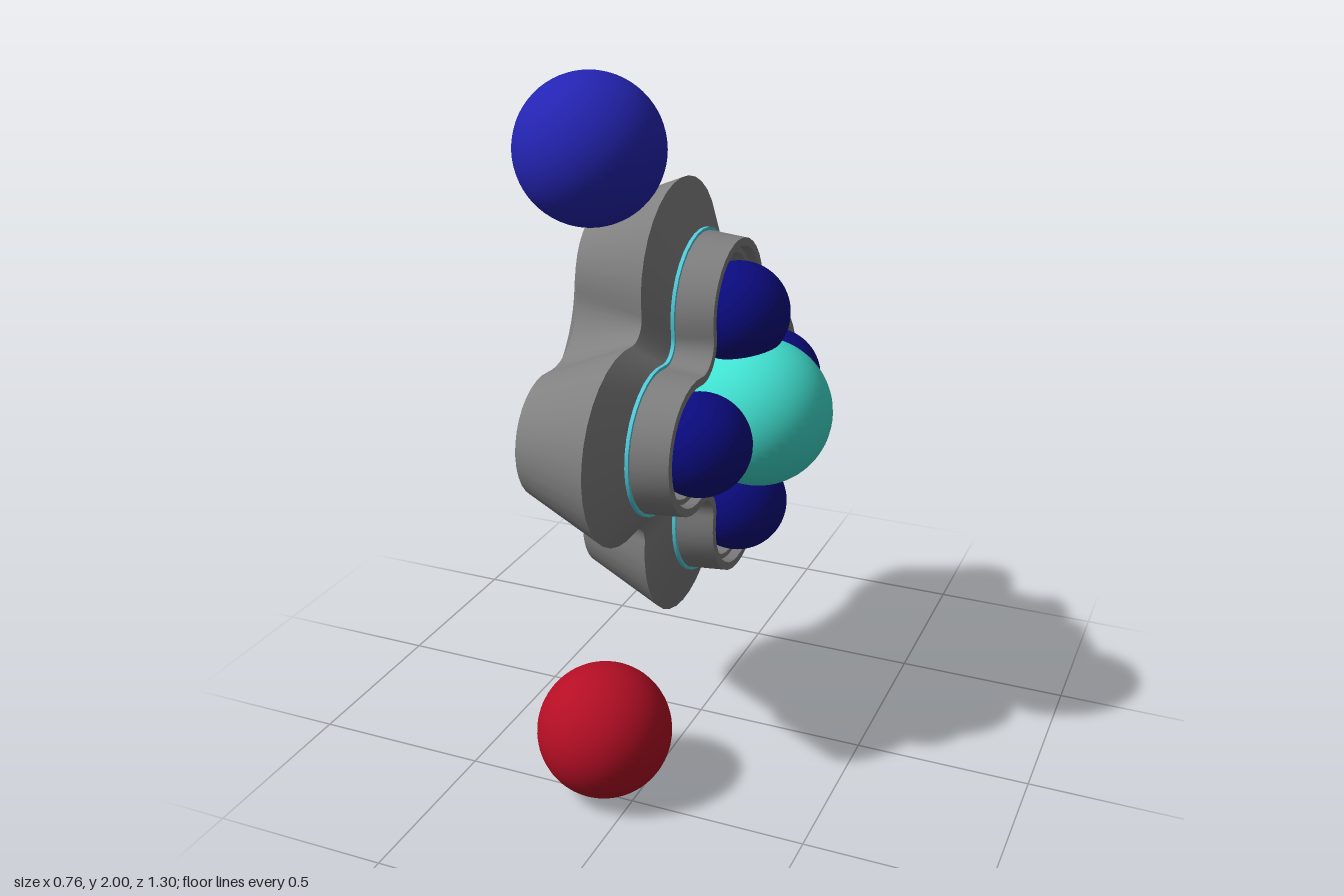
import * as THREE from 'three';

const CY = 1.005, CZ = -0.005; // centre of the four-lobed body

// Rounded four-lobed outline: lobe centre distance c, lobe radius r, valley distance v
function outline(c, r, v) {
  const pts = [], arc = 18, fill = 12;
  const k = r - v;
  const d = (c * c - k * k) / (Math.SQRT2 * c + 2 * k); // valley fillet centre
  const f = d - v, h = d / Math.SQRT2;
  const phi = Math.atan2(h, h - c);
  for (let q = 0; q < 4; q++) {
    const ca = Math.cos(q * Math.PI / 2), sa = Math.sin(q * Math.PI / 2);
    const add = (a, b) => pts.push([a * ca - b * sa, a * sa + b * ca]);
    for (let i = 0; i <= arc; i++) {
      const t = -phi + 2 * phi * i / arc;
      add(c + r * Math.cos(t), r * Math.sin(t));
    }
    const start = phi + Math.PI, end = 2.5 * Math.PI - start;
    for (let i = 1; i < fill; i++) {
      const t = start + (end - start) * i / fill;
      add(h + f * Math.cos(t), h + f * Math.sin(t));
    }
  }
  return pts;
}

// Surface between two outlines; smooth around, creased at its borders
function band(x0, ring0, x1, ring1) {
  const n = ring0.length, pos = [], idx = [];
  for (const [x, ring] of [[x0, ring0], [x1, ring1]])
    for (const [a, b] of ring) pos.push(x, a, b);
  for (let i = 0; i < n; i++) {
    const j = (i + 1) % n;
    idx.push(i, j, n + i, j, n + j, n + i);
  }
  const g = new THREE.BufferGeometry();
  g.setAttribute('position', new THREE.Float32BufferAttribute(pos, 3));
  g.setIndex(idx);
  g.computeVertexNormals();
  return g;
}

// Lofted shell through a list of [x, outline]
function loft(name, sections, material) {
  const group = new THREE.Group();
  group.name = name;
  for (let i = 0; i + 1 < sections.length; i++) {
    const mesh = new THREE.Mesh(band(...sections[i], ...sections[i + 1]), material);
    mesh.name = `${name}Band${i + 1}`;
    group.add(mesh);
  }
  return group;
}

function makeMaterial(name, color) {
  const m = new THREE.MeshStandardMaterial({ color });
  m.name = name;
  return m;
}

function ball(name, radius, x, y, z, material) {
  const mesh = new THREE.Mesh(new THREE.SphereGeometry(radius, 48, 32), material);
  mesh.name = name;
  mesh.position.set(x, y, z);
  return mesh;
}

export function createModel() {
  const grey = makeMaterial('grey', 0x808080);
  const navy = makeMaterial('navy', 0x0b0b80);
  const turquoise = makeMaterial('turquoise', 0x40e0d0);
  const cyan = makeMaterial('cyan', 0x55cbdc);
  const blue = makeMaterial('blue', 0x2424b4);
  const red = makeMaterial('red', 0xb40e24);

  const model = new THREE.Group();
  model.name = 'model';
  const body = new THREE.Group();
  body.name = 'body';
  body.position.set(0, CY, CZ);
  model.add(body);

  // Housing: back cap, back bevel, flared side, front bevel
  const back = outline(0.31, 0.02, 0.16);
  const centre = back.map(() => [0, 0]);
  body.add(loft('housing', [
    [-0.38, centre],
    [-0.38, back],
    [-0.30, outline(0.37, 0.17, 0.30)],
    [-0.06, outline(0.37, 0.27, 0.40)],
    [-0.005, outline(0.30, 0.205, 0.305)],
  ], grey));

  // Thin coloured seam between housing and collar
  const seam = outline(0.30, 0.205, 0.305);
  body.add(loft('seam', [
    [-0.005, seam],
    [0.005, seam],
    [0.005, outline(0.30, 0.195, 0.295)],
  ], cyan));

  // Collar with a stepped recess
  body.add(loft('collar', [
    [0.0, outline(0.30, 0.197, 0.297)],
    [0.11, outline(0.30, 0.187, 0.287)],
    [0.11, outline(0.30, 0.165, 0.265)],
    [0.085, outline(0.30, 0.16, 0.26)],
    [0.085, outline(0.30, 0.145, 0.245)],
    [0.02, outline(0.30, 0.14, 0.24)],
    [0.02, centre],
  ], grey));

  // Large centre ball and the four around it
  body.add(ball('centreBall', 0.207, 0.17, 0, 0, turquoise));
  for (let i = 0; i < 4; i++) {
    const a = i * Math.PI / 2;
    body.add(ball(`lobeBall${i + 1}`, 0.141, 0.11, 0.282 * Math.cos(a), 0.282 * Math.sin(a), navy));
  }

  // Free balls above and below
  model.add(ball('upperBall', 0.187, -0.097, 1.813, 0.464, blue));
  model.add(ball('lowerBall', 0.187, -0.097, 0.187, 0.464, red));
  return model;
}
